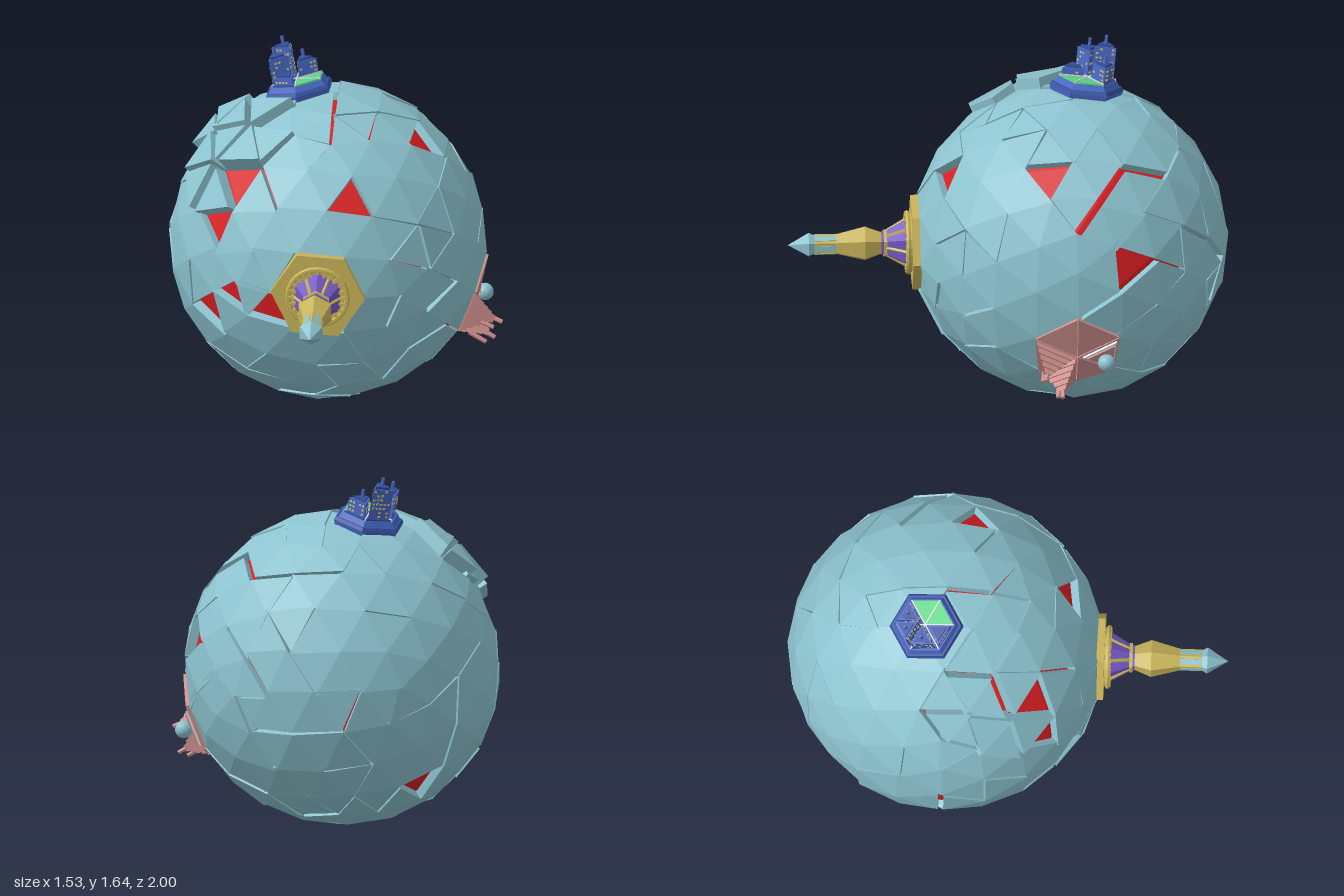
import * as THREE from 'three';

const R = 0.72;
const V = (x, y, z) => new THREE.Vector3(x, y, z);
const UP = V(0, 1, 0);
const mat = (color) => new THREE.MeshStandardMaterial({ color, flatShading: true });
const M = {
  teal: mat(0x8cc3cf), red: mat(0xd81e22), gold: mat(0xc8b45a), purple: mat(0x7458c4),
  blue: mat(0x4767c4), navy: mat(0x34509f), green: mat(0x5fd486), pink: mat(0xcb8e8b),
  window: mat(0xd2c268), white: mat(0xd5dce0),
};

let seed = 11;
const rnd = () => (seed = (seed * 16807) % 2147483647) / 2147483647;

function add(parent, name, geometry, material, x = 0, y = 0, z = 0) {
  const mesh = new THREE.Mesh(geometry, material);
  mesh.name = name;
  mesh.position.set(x, y, z);
  parent.add(mesh);
  return mesh;
}

// Group whose local +y points outward along a direction from the ball's centre
function mount(parent, name, dir) {
  const g = new THREE.Group();
  g.name = name;
  g.quaternion.setFromUnitVectors(UP, dir.clone().normalize());
  parent.add(g);
  return g;
}

function fromTriangles(points) {
  const g = new THREE.BufferGeometry().setFromPoints(points);
  g.computeVertexNormals();
  return g;
}

const wall = (out, a, b, a2, b2) => out.push(a, a2, b2, a, b2, b);

// Tapered triangular block standing on a flat triangle
function prism(tri, s0, h0, s1, h1) {
  const c = tri.center, n = c.clone().normalize();
  const ring = (s, h) => tri.v.map((p) => p.clone().sub(c).multiplyScalar(s).add(c).addScaledVector(n, h));
  const low = ring(s0, h0), top = ring(s1, h1), out = [...top];
  for (let i = 0; i < 3; i++) wall(out, top[i], top[(i + 1) % 3], low[i], low[(i + 1) % 3]);
  return fromTriangles(out);
}

// Shell piece made of several neighbouring triangles, walled only at its rim
function shell(faces) {
  const out = [], edges = new Set(faces.flatMap((f) => f.edges));
  for (const f of faces) {
    out.push(...f.v);
    for (let i = 0; i < 3; i++) {
      if (edges.has(f.back[i])) continue;
      const a = f.v[i], b = f.v[(i + 1) % 3];
      wall(out, a, b, a.clone().multiplyScalar(0.92), b.clone().multiplyScalar(0.92));
    }
  }
  return fromTriangles(out);
}

// Triangles of the geodesic ball with their edge keys
function geodesicFaces() {
  const p = new THREE.IcosahedronGeometry(R, 3).rotateZ(Math.PI / 2 - 0.07).getAttribute('position');
  const key = (v) => v.toArray().map((n) => Math.round(n * 1000) + 0).join(',');
  const faces = [];
  for (let i = 0; i < p.count; i += 3) {
    const v = [0, 1, 2].map((k) => new THREE.Vector3().fromBufferAttribute(p, i + k));
    const k = v.map(key);
    faces.push({
      v, center: V(0, 0, 0).add(v[0]).add(v[1]).add(v[2]).divideScalar(3),
      edges: [0, 1, 2].map((j) => k[j] + '|' + k[(j + 1) % 3]),
      back: [0, 1, 2].map((j) => k[(j + 1) % 3] + '|' + k[j]),
    });
  }
  return faces;
}

const nearest = (items, point, dir) => {
  const d = dir.clone().normalize().multiplyScalar(R);
  return items.reduce((a, b) => (point(b).distanceTo(d) < point(a).distanceTo(d) ? b : a));
};
const nearestFace = (faces, dir) => nearest(faces, (f) => f.center, dir);
function hexAround(faces, dir) {
  const corner = nearest(faces.flatMap((f) => f.v), (v) => v, dir);
  return faces.filter((f) => f.v.some((v) => v.distanceTo(corner) < 0.01));
}

function buildShell(ball, faces, used) {
  // Missing tiles that show the core
  const holes = [[-.345, .45, .42], [-.5, .29, .41], [.135, .4, .57], [-.345, -.13, .6], [-.49, -.19, .47],
    [-.22, -.1, .67], [.47, .52, .08], [.66, .1, -.24], [-.4, -.5, -.4]];
  holes.forEach((h) => used.add(nearestFace(faces, V(...h))));

  // Raised loose tiles on the upper left shoulder
  const shoulder = V(-0.62, 0.7, 0.3).normalize();
  for (const f of faces) {
    if (used.has(f) || f.center.angleTo(shoulder) > 0.36) continue;
    used.add(f);
    const tile = add(ball, 'raisedTile', prism(f, 1, -0.06, 0.97, 0.015 + rnd() * 0.055), M.teal);
    tile.rotation.set((rnd() - 0.5) * 0.07, (rnd() - 0.5) * 0.07, (rnd() - 0.5) * 0.07);
  }

  // Remaining tiles grow into cracked plates, each slightly shifted
  const owner = new Map();
  faces.forEach((f) => f.edges.forEach((e) => owner.set(e, f)));
  const order = faces.map((f) => [rnd(), f]).sort((a, b) => a[0] - b[0]).map((o) => o[1]);
  for (const start of order) {
    if (used.has(start)) continue;
    const group = [start], size = 4 + Math.floor(rnd() * 9);
    used.add(start);
    for (let i = 0; i < group.length && group.length < size; i++) {
      for (const e of group[i].back) {
        const next = owner.get(e);
        if (!next || used.has(next) || group.length >= size || rnd() < 0.2) continue;
        used.add(next);
        group.push(next);
      }
    }
    const plate = add(ball, 'shellPlate', shell(group), M.teal);
    const axis = V(rnd() - 0.5, rnd() - 0.5, rnd() - 0.5).normalize();
    plate.quaternion.setFromAxisAngle(axis, rnd() * 0.04);
    plate.scale.setScalar(0.99 + rnd() * 0.02);
  }
}

function buildSpire(ball) {
  const spire = mount(ball, 'spire', V(0, 0, 1));
  // [name, lower radius, upper radius, start, end, material, sides]
  const parts = [
    ['spireFoot', 0.215, 0.215, 0.64, 0.718, M.gold, 6], ['gearDisc', 0.135, 0.135, 0.715, 0.735, M.gold, 24],
    ['purpleCollar', 0.12, 0.065, 0.735, 0.83, M.purple, 6], ['lowerBand', 0.068, 0.068, 0.83, 0.845, M.gold, 6],
    ['purpleBand', 0.06, 0.06, 0.845, 0.855, M.purple, 6], ['bulgeLower', 0.055, 0.085, 0.855, 0.93, M.gold, 6],
    ['bulgeUpper', 0.085, 0.05, 0.93, 1.06, M.gold, 6], ['neck', 0.05, 0.05, 1.06, 1.16, M.gold, 6],
    ['tipBase', 0.042, 0.06, 1.15, 1.185, M.teal, 6], ['tip', 0.06, 0, 1.185, 1.28, M.teal, 6],
  ];
  for (const [name, r0, r1, y0, y1, m, n] of parts) {
    const part = add(spire, name, new THREE.CylinderGeometry(r1, r0, y1 - y0, n), m, 0, (y0 + y1) / 2, 0);
    if (name === 'spireFoot') part.rotation.y = Math.PI / 6 - 0.07;
  }
  add(spire, 'gearRim', new THREE.TorusGeometry(0.135, 0.012, 6, 24).rotateX(Math.PI / 2), M.gold, 0, 0.735, 0);
  for (let i = 0; i < 24; i++) {
    const rib = add(spire, 'gearRib', new THREE.BoxGeometry(0.012, 0.02, 0.05).translate(0, 0.738, 0.11), M.gold);
    rib.rotation.y = (i * Math.PI) / 12;
  }
  for (let i = 0; i < 6; i++) {
    const a = ((i + 0.5) * Math.PI) / 3;
    const collarRib = add(spire, 'collarRib', new THREE.CylinderGeometry(0.008, 0.008, 0.11, 4), M.gold);
    collarRib.rotation.set(-0.52, 0, 0);
    collarRib.position.set(0, 0.785, 0.08);
    const panel = add(spire, 'neckPanel', new THREE.BoxGeometry(0.024, 0.1, 0.006), M.teal, 0, 1.11, 0.043);
    const turn = new THREE.Group();
    turn.name = 'spireTrim';
    turn.rotation.y = a;
    turn.add(collarRib, panel);
    spire.add(turn);
  }
}

function buildCity(ball) {
  const city = mount(ball, 'city', V(-0.19, 0.97, -0.12));
  [[0.155, 0.17, 0.67, 0.715, M.blue], [0.17, 0.16, 0.715, 0.73, M.navy], [0.15, 0.135, 0.73, 0.755, M.blue]]
    .forEach(([r0, r1, y0, y1, m]) =>
      add(city, 'cityBase', new THREE.CylinderGeometry(r1, r0, y1 - y0, 6), m, 0, (y0 + y1) / 2, 0));
  const heights = [0, 0, 0.07, 0.145, 0.115, 0.035];
  heights.forEach((h, k) => {
    const sector = new THREE.Group();
    sector.name = 'citySector';
    sector.rotation.y = ((k + 0.5) * Math.PI) / 3;
    city.add(sector);
    const tri = (r, height) => new THREE.CylinderGeometry(r, r, height, 3).rotateY(Math.PI);
    add(sector, h ? 'plaza' : 'park', tri(0.07, 0.008), h ? M.navy : M.green, 0, 0.758, 0.076);
    const divider = add(sector, 'divider', new THREE.BoxGeometry(0.006, 0.012, 0.13).translate(0, 0.76, 0.065), M.white);
    divider.rotation.y = Math.PI / 6;
    if (!h) return;
    add(sector, 'tower', tri(0.058, h), M.blue, 0, 0.76 + h / 2, 0.078);
    add(sector, 'towerRoof', tri(0.042, 0.014), M.navy, 0, 0.765 + h, 0.078);
    if (h > 0.05) add(sector, 'towerMast', new THREE.CylinderGeometry(0.008, 0.008, 0.05, 6), M.blue, 0, 0.785 + h, 0.08);
    // Lit windows on the three tower sides
    for (let s = 0; s < 3; s++) {
      const side = new THREE.Group();
      side.name = 'windowSide';
      side.position.set(0, 0.76, 0.078);
      side.rotation.y = (s * 2 * Math.PI) / 3;
      sector.add(side);
      for (let y = 0.015; y < h - 0.005; y += 0.02) for (let c = -2; c <= 2; c++) {
        if (rnd() > 0.4) continue;
        add(side, 'window', new THREE.BoxGeometry(0.011, 0.009, 0.004), M.window, c * 0.018, y, 0.029);
      }
    }
  });
}

function buildTemples(ball, hex) {
  for (const f of hex) add(ball, 'pinkTile', prism(f, 1, -0.06, 0.98, 0.015), M.pink);
  // Stepped pyramids with masts
  for (const dir of [V(0.62, -0.2, 0.28), V(0.57, -0.42, 0.14)]) {
    const f = nearestFace(hex, dir);
    for (let i = 0; i < 5; i++) {
      const s = 0.92 - i * 0.17, h = 0.012 + i * 0.024;
      add(ball, 'pyramidStep', prism(f, s, h, s - 0.07, h + 0.024), M.pink);
    }
    const top = mount(ball, 'pyramidMasts', f.center);
    const y = f.center.length() + 0.14;
    add(top, 'mast', new THREE.CylinderGeometry(0.01, 0.012, 0.06, 6), M.pink, 0, y, 0);
    add(top, 'shortMast', new THREE.CylinderGeometry(0.01, 0.012, 0.09, 6), M.pink, 0.03, y - 0.04, 0.025);
  }
  // Globe on a framed tile
  const f = nearestFace(hex, V(0.62, -0.24, -0.2));
  add(ball, 'globeFrame', prism(f, 0.85, 0.01, 0.8, 0.025), M.white);
  add(ball, 'globePad', prism(f, 0.68, 0.02, 0.66, 0.032), M.pink);
  const stand = mount(ball, 'globeStand', f.center);
  add(stand, 'globe', new THREE.IcosahedronGeometry(0.04, 2), M.teal, 0, f.center.length() + 0.065, 0);
}

export function createModel() {
  const model = new THREE.Group();
  model.name = 'crackedPlanet';
  const ball = new THREE.Group();
  ball.name = 'planet';
  ball.position.set(-0.035, 0.73, -0.28);
  model.add(ball);

  add(ball, 'core', new THREE.IcosahedronGeometry(0.68, 3).rotateZ(Math.PI / 2 - 0.07), M.red);
  const faces = geodesicFaces();
  const spireHex = hexAround(faces, V(0, 0, 1));
  const pinkHex = hexAround(faces, V(0.905, -0.39, 0.08));
  buildShell(ball, faces, new Set([...spireHex, ...pinkHex]));
  buildSpire(ball);
  buildCity(ball);
  buildTemples(ball, pinkHex);
  return model;
}
